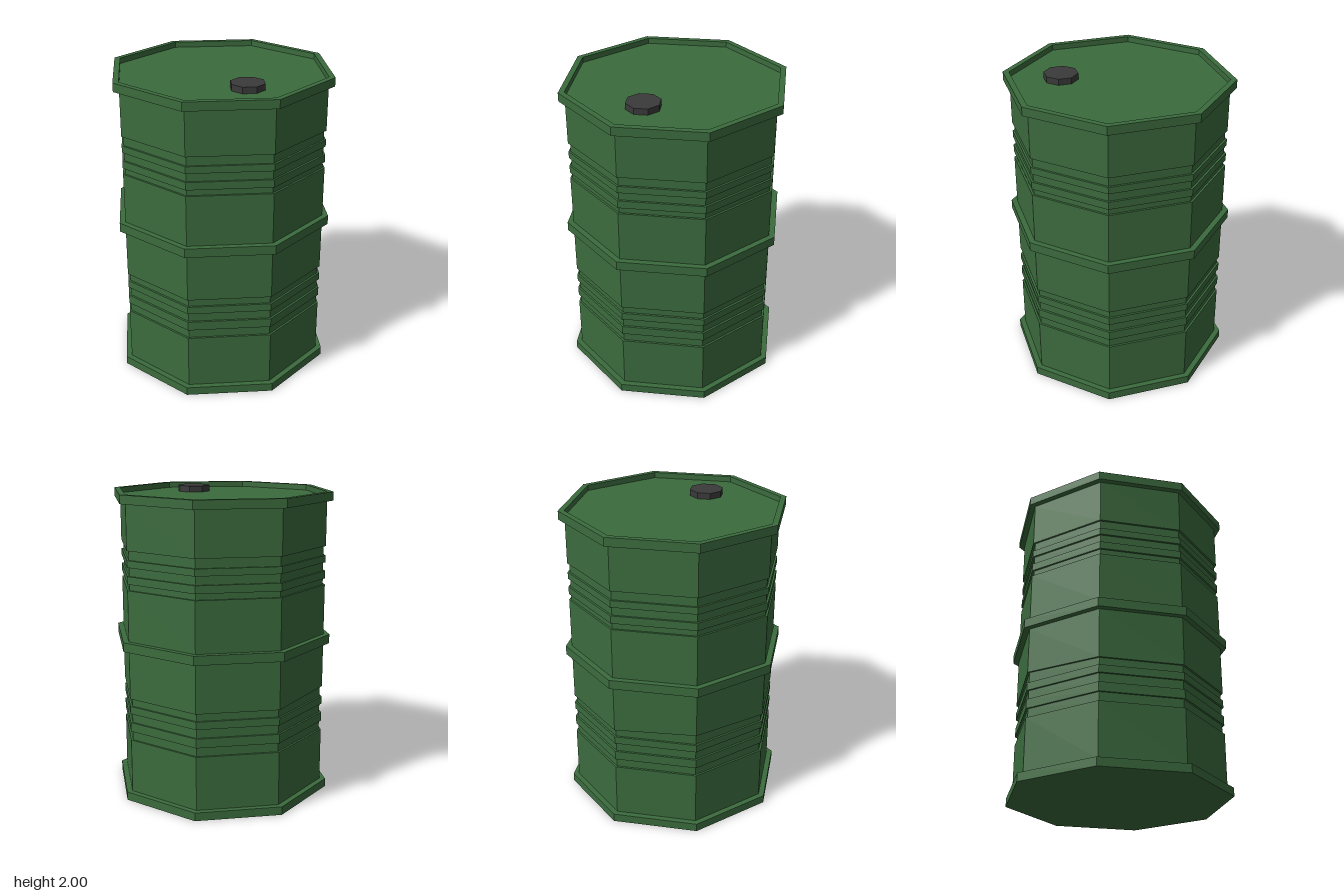
import * as THREE from 'three';

const SIDES = 8;
const TURN = THREE.MathUtils.degToRad(32.3); // twist of the octagon about y
const RIM = 0.728, BODY = 0.689, GROOVE = 0.675;

// Faceted solid of revolution from a bottom-to-top [radius, height] profile
function facetedLathe(name, profile, color) {
  const points = profile.map(([r, y]) => new THREE.Vector2(r, y));
  const geometry = new THREE.LatheGeometry(points, SIDES, TURN);
  const material = new THREE.MeshStandardMaterial({ color, flatShading: true });
  const mesh = new THREE.Mesh(geometry, material);
  mesh.name = name;
  return mesh;
}

export function createModel() {
  const group = new THREE.Group();
  group.name = 'barrel';

  // Wall sections stacked upward: [radius, top height]
  const sections = [
    [RIM, 0.055], [BODY, 0.41],
    [GROOVE, 0.47], [BODY, 0.53], [GROOVE, 0.59], [BODY, 0.64], [GROOVE, 0.69],
    [BODY, 1.01], [RIM, 1.07], [BODY, 1.4],
    [GROOVE, 1.44], [BODY, 1.49], [GROOVE, 1.545], [BODY, 1.59], [GROOVE, 1.65],
    [BODY, 1.94], [RIM, 1.996],
  ];
  const profile = [[0, 0]];
  let y = 0;
  for (const [r, top] of sections) {
    profile.push([r, y], [r, top]);
    y = top;
  }
  // Recessed lid inside the top rim
  profile.push([BODY, 1.996], [BODY, 1.96], [0, 1.96]);
  const drum = facetedLathe('drum', profile, 0x3b6b3d);

  // Small dent: one corner above the lower grooves is pushed up
  const pos = drum.geometry.attributes.position;
  for (let i = 0; i < pos.count; i++) {
    const atCorner = Math.hypot(pos.getX(i) + 0.58, pos.getZ(i) - 0.365) < 0.05;
    if (atCorner && Math.abs(pos.getY(i) - 0.69) < 0.005) pos.setY(i, 0.712);
  }
  group.add(drum);

  // Filler cap on the lid
  const cap = facetedLathe('fillerCap', [[0, 0], [0.11, 0], [0.11, 0.04], [0, 0.04]], 0x3a3a3a);
  cap.position.set(0.352, 1.96, 0.088);
  group.add(cap);

  return group;
}
